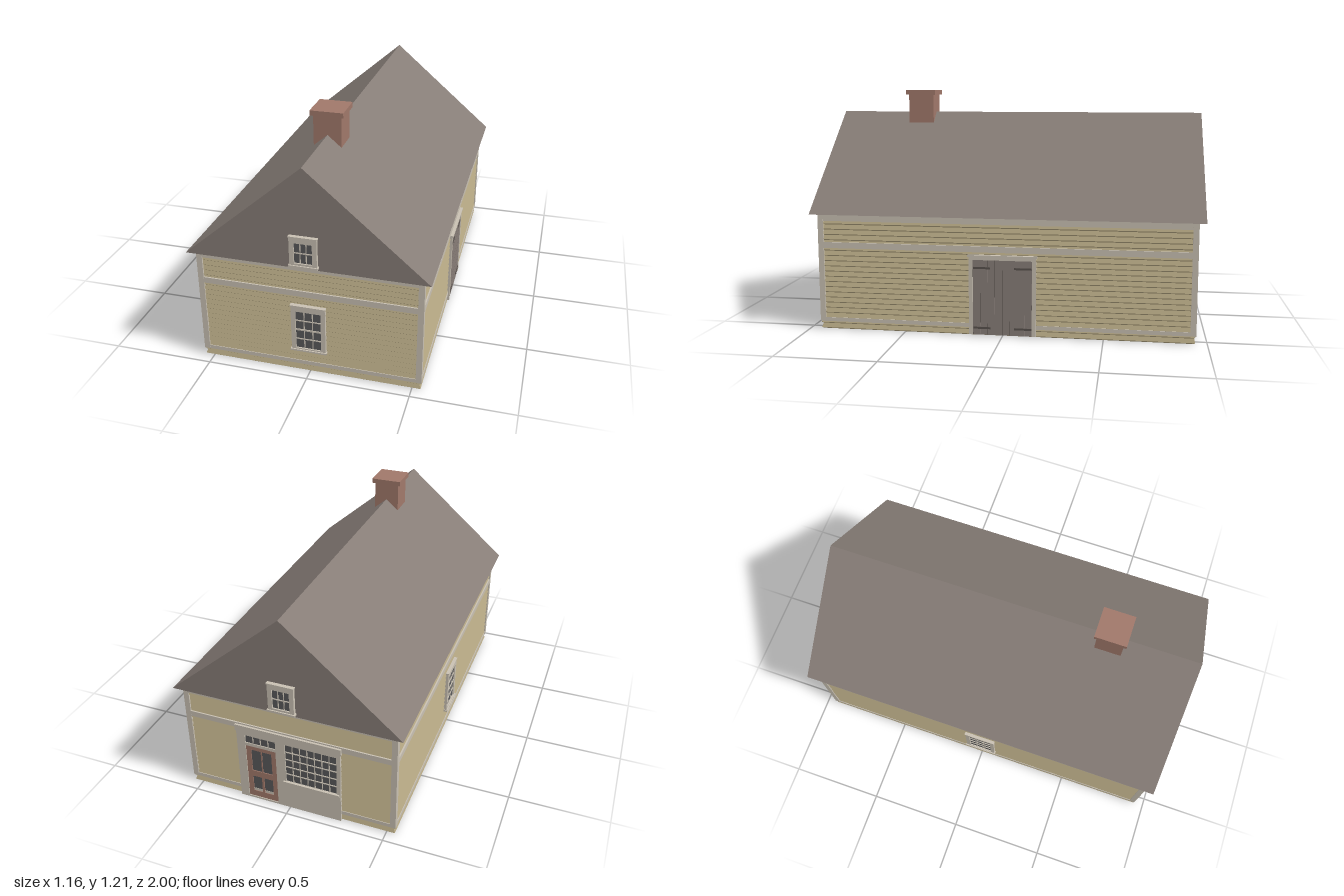
import * as THREE from 'three';

const material = (name, color, side = THREE.FrontSide) => {
  const m = new THREE.MeshStandardMaterial({ color, side });
  m.name = name;
  return m;
};

// Wall half sizes and main heights
const WX = 0.54, WZ = 0.94, EAVE = 0.597, RIDGE = 1.095;

export function createModel() {
  const siding = material('tan siding', 0xb8aa85, THREE.DoubleSide);
  const trim = material('pale trim', 0xc8c0b2);
  const roofGrey = material('roof grey', 0x877d77);
  const brick = material('brick', 0xa0786a);
  const glass = material('dark glass', 0x58585a);
  const iron = material('dark iron', 0x57504c);

  const house = new THREE.Group();
  house.name = 'house';

  // Box from its lower and upper corners
  function box(parent, name, mat, x0, x1, y0, y1, z0, z1) {
    const mesh = new THREE.Mesh(new THREE.BoxGeometry(x1 - x0, y1 - y0, z1 - z0), mat);
    mesh.position.set((x0 + x1) / 2, (y0 + y1) / 2, (z0 + z1) / 2);
    mesh.name = name;
    parent.add(mesh);
    return mesh;
  }

  // Four boards around an opening
  function surround(parent, name, mat, o, i, z0, z1) {
    box(parent, name + 'Left', mat, o[0], i[0], o[2], o[3], z0, z1);
    box(parent, name + 'Right', mat, i[1], o[1], o[2], o[3], z0, z1);
    box(parent, name + 'Bottom', mat, i[0], i[1], o[2], i[2], z0, z1);
    box(parent, name + 'Top', mat, i[0], i[1], i[3], o[3], z0, z1);
  }

  // Glass with a grid of bars
  function panes(parent, name, [x0, x1, y0, y1], cols, rows, z, bar = 0.0045) {
    box(parent, name + 'Glass', glass, x0, x1, y0, y1, z - 0.004, z);
    for (let c = 1; c < cols; c++) {
      const x = x0 + (x1 - x0) * c / cols;
      box(parent, name + 'Bar', trim, x - bar / 2, x + bar / 2, y0, y1, z - 0.002, z + 0.003);
    }
    for (let r = 1; r < rows; r++) {
      const y = y0 + (y1 - y0) * r / rows;
      const h = rows === 4 && r === 2 ? bar * 0.9 : bar / 2;
      box(parent, name + 'Bar', trim, x0, x1, y - h, y + h, z - 0.002, z + 0.004);
    }
  }

  function sashWindow(parent, name, o, i, cols, rows, depth) {
    const w = new THREE.Group();
    w.name = name;
    surround(w, 'casing', trim, o, i, -0.008, depth);
    box(w, 'sill', trim, o[0] - 0.005, o[1] + 0.005, o[2] - 0.002, o[2] + 0.007, 0, depth + 0.006);
    box(w, 'cap', trim, o[0] - 0.003, o[1] + 0.003, o[3] - 0.006, o[3], 0, depth + 0.003);
    panes(w, 'sash', i, cols, rows, depth - 0.007);
    parent.add(w);
  }

  // Lapped boards swept around the rectangular plan, with a plain inner wall
  const profile = [[-0.012, EAVE - 0.003], [-0.012, 0]];
  const boards = 22, pitch = (EAVE - 0.001) / boards;
  for (let b = 0; b < boards; b++) {
    profile.push([-0.005, b * pitch], [0.002, b * pitch + 0.006]);
  }
  profile.push([-0.005, EAVE - 0.001]);
  const corners = [[1, 1], [1, -1], [-1, -1], [-1, 1]];
  const wallPoints = [];
  for (let k = 0; k < profile.length - 1; k++) {
    for (let c = 0; c < 4; c++) {
      const at = ([off, y], [sx, sz]) => [sx * (WX + off), y, sz * (WZ + off)];
      const n = corners[(c + 1) % 4];
      const a = at(profile[k], corners[c]), d = at(profile[k + 1], corners[c]);
      const b = at(profile[k], n), e = at(profile[k + 1], n);
      wallPoints.push(...a, ...b, ...e, ...a, ...e, ...d);
    }
  }
  const wallGeometry = new THREE.BufferGeometry();
  wallGeometry.setAttribute('position', new THREE.Float32BufferAttribute(wallPoints, 3));
  wallGeometry.computeVertexNormals();
  const walls = new THREE.Mesh(wallGeometry, siding);
  walls.name = 'sidedWalls';
  house.add(walls);
  box(house, 'ceiling', siding, -WX + 0.01, WX - 0.01, EAVE - 0.006, EAVE - 0.002, -WZ + 0.01, WZ - 0.01);

  // Roof prism with closed gables
  const gable = new THREE.Shape([
    new THREE.Vector2(-0.58, EAVE), new THREE.Vector2(0.58, EAVE), new THREE.Vector2(0, RIDGE),
  ]);
  const roof = new THREE.Mesh(
    new THREE.ExtrudeGeometry(gable, { depth: 1.956, bevelEnabled: false }).translate(0, 0, -0.978), roofGrey);
  roof.name = 'roof';
  house.add(roof);

  // Chimney
  box(house, 'chimneyShaft', brick, -0.068, 0.068, 0.49, 1.19, 0.456, 0.592);
  box(house, 'chimneyCap', brick, -0.081, 0.081, 1.188, 1.213, 0.443, 0.605);

  // One facade: local x along the wall, local z outwards
  function facade(name, angle, half, distance) {
    const f = new THREE.Group();
    f.name = name;
    f.rotation.y = angle;
    f.position.set(Math.sin(angle) * distance, 0, Math.cos(angle) * distance);
    const e = half + 0.006;
    for (const s of [-1, 1]) {
      const a = s * e, b = s * (e - 0.028);
      box(f, 'cornerBoard', trim, Math.min(a, b), Math.max(a, b), 0.04, EAVE, -0.01, 0.006);
    }
    for (const [label, y0, y1] of [['baseBoard', 0.04, 0.06], ['beltBoard', 0.422, 0.452], ['friezeBoard', 0.561, EAVE]]) {
      box(f, label, trim, -e, e, y0, y1, -0.01, 0.005);
    }
    house.add(f);
    return f;
  }
  const front = facade('frontWall', 0, WX, WZ);
  const back = facade('backWall', Math.PI, WX, WZ);
  const left = facade('doorSideWall', Math.PI / 2, WZ, WX);
  const right = facade('windowSideWall', -Math.PI / 2, WZ, WX);

  // Windows
  for (const wall of [front, right]) {
    sashWindow(wall, 'sashWindow', [-0.084, 0.084, 0.125, 0.375], [-0.062, 0.062, 0.138, 0.342], 3, 4, 0.014);
  }
  for (const s of [1, -1]) {
    const g = new THREE.Group();
    g.name = 'gableWindow';
    g.position.z = s * 0.978;
    if (s < 0) g.rotation.y = Math.PI;
    sashWindow(g, 'atticWindow', [-0.065, 0.065, 0.613, 0.765], [-0.043, 0.043, 0.63, 0.732], 3, 2, 0.016);
    house.add(g);
  }

  // Plank double door
  const barn = new THREE.Group();
  barn.name = 'plankDoor';
  left.add(barn);
  for (const s of [-1, 1]) {
    const m = s * 0.158;
    box(barn, 'doorPost', trim, m - 0.01, m + 0.01, 0.005, 0.4, -0.008, 0.012);
    for (let p = 0; p < 4; p++) {
      const c = s * (0.0185 + p * 0.037);
      box(barn, 'doorPlank', roofGrey, c - 0.0178, c + 0.0178, 0.005, 0.385, -0.008, 0.009);
    }
    for (const y of [0.04, 0.345]) {
      const c = s * 0.103;
      box(barn, 'strapHinge', iron, c - 0.043, c + 0.043, y - 0.005, y + 0.005, 0.006, 0.012);
    }
  }
  box(barn, 'doorBacking', iron, -0.148, 0.148, 0.005, 0.385, -0.008, 0.007);
  box(barn, 'doorHead', trim, -0.168, 0.168, 0.385, 0.405, -0.008, 0.012);
  box(barn, 'doorCornice', trim, -0.173, 0.173, 0.4, 0.41, -0.008, 0.018);

  // Shopfront: panelled door with transom beside a wide display window
  const shop = new THREE.Group();
  shop.name = 'shopfront';
  back.add(shop);
  const opening = [-0.225, -0.065, 0.01, 0.39];
  surround(shop, 'entrySurround', trim, [-0.27, -0.04, 0, 0.41], opening, -0.008, 0.012);
  box(shop, 'transomBar', trim, -0.225, -0.065, 0.328, 0.345, -0.008, 0.01);
  panes(shop, 'transom', [-0.225, -0.065, 0.345, 0.39], 4, 1, 0.006);
  surround(shop, 'entryDoorFrame', brick, [-0.225, -0.065, 0.01, 0.328], [-0.199, -0.091, 0.045, 0.305], -0.006, 0.008);
  box(shop, 'entryDoorRail', brick, -0.199, -0.091, 0.14, 0.175, -0.006, 0.008);
  box(shop, 'entryDoorStile', brick, -0.151, -0.139, 0.045, 0.14, -0.006, 0.008);
  box(shop, 'entryDoorGlass', glass, -0.199, -0.091, 0.045, 0.305, -0.006, 0.004);
  box(shop, 'entryDoorBar', brick, -0.148, -0.142, 0.175, 0.305, 0, 0.007);
  const display = [-0.015, 0.25, 0.165, 0.39];
  surround(shop, 'displaySurround', trim, [-0.04, 0.27, 0, 0.41], display, -0.008, 0.012);
  panes(shop, 'display', display, 7, 5, 0.006);
  box(shop, 'displaySill', trim, -0.03, 0.265, 0.155, 0.165, 0, 0.02);
  box(shop, 'shopHead', trim, -0.275, 0.275, 0.41, 0.445, -0.008, 0.016);

  return house;
}
